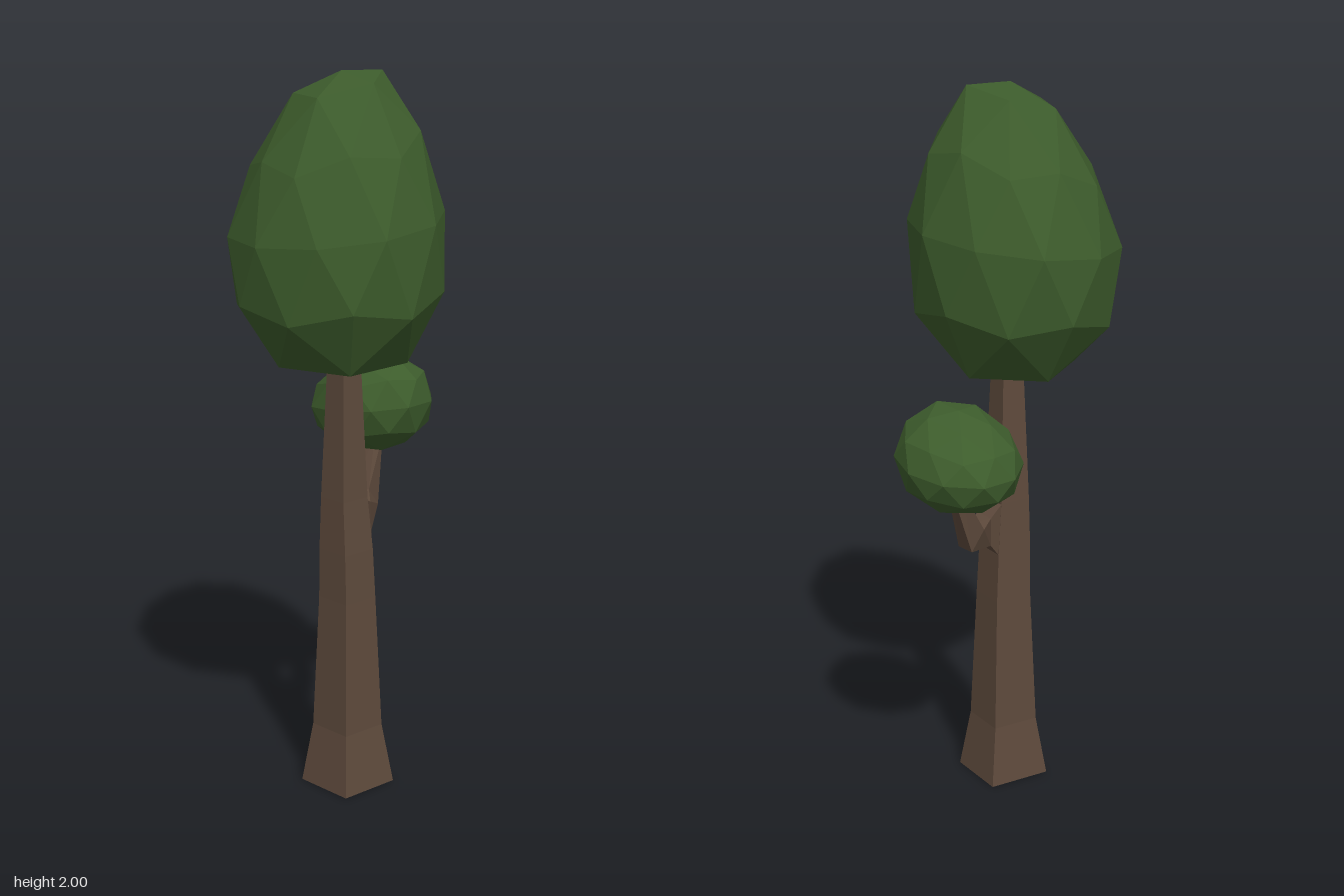
import * as THREE from 'three';

const bark = new THREE.MeshStandardMaterial({ color: 0x5e4a3c, flatShading: true });
const leaf = new THREE.MeshStandardMaterial({ color: 0x3d5c2c, flatShading: true });

// Skin a row of four-cornered sections, with caps at both ends
function loft(rings) {
  const pos = [], idx = [];
  rings.forEach(r => r.forEach(p => pos.push(...p)));
  for (let k = 0; k < rings.length - 1; k++) {
    for (let i = 0; i < 4; i++) {
      const a = k * 4 + i, b = k * 4 + (i + 1) % 4;
      idx.push(a, b, b + 4, a, b + 4, a + 4);
    }
  }
  const e = (rings.length - 1) * 4;
  idx.push(0, 3, 2, 0, 2, 1, e, e + 1, e + 2, e, e + 2, e + 3);
  const g = new THREE.BufferGeometry();
  g.setAttribute('position', new THREE.Float32BufferAttribute(pos, 3));
  g.setIndex(idx);
  const flat = g.toNonIndexed();
  flat.computeVertexNormals();
  return flat;
}

// Faceted ball with a corner at each pole: taper narrows the top, leanX and leanZ
// tilt the upper layers, poleShift moves both poles along z, blunt fills the shoulders
function crown(center, radii, { taper, leanX, leanZ, poleShift, blunt, yaw }) {
  const g = new THREE.IcosahedronGeometry(1, 1);
  g.rotateX(-Math.atan2((1 + Math.sqrt(5)) / 2, 1));
  g.rotateY(yaw);
  const p = g.attributes.position;
  for (let i = 0; i < p.count; i++) {
    const x = p.getX(i), y = p.getY(i), z = p.getZ(i);
    const s = 1 - taper * y;
    const h = y + blunt * y ** 5 * (1 - y * y);
    p.setXYZ(i,
      center[0] + x * radii[0] * s,
      center[1] + h * radii[1] + (leanX * x + leanZ * z) * (1 + y),
      center[2] + z * radii[2] * s + poleShift * y * y);
  }
  g.computeVertexNormals();
  return g;
}

export function createModel() {
  const tree = new THREE.Group();
  tree.name = 'tree';
  const add = (name, geometry, material) => {
    const m = new THREE.Mesh(geometry, material);
    m.name = name;
    tree.add(m);
  };

  // Square trunk: height, centre x, centre z, half width
  const trunk = [
    [0, -0.049, 0.032, 0.091],
    [0.17, -0.048, 0.03, 0.068],
    [0.55, -0.049, 0.031, 0.055],
    [0.69, -0.053, 0.031, 0.052],
    [0.84, -0.058, 0.029, 0.045],
    [1.25, -0.062, 0.033, 0.031],
  ].map(([y, x, z, h]) => [[x - h, y, z + h], [x + h, y, z + h], [x + h, y, z - h], [x - h, y, z - h]]);
  add('trunk', loft(trunk), bark);

  // Branch: flared root, collar, elbow, tip
  add('branch', loft([
    [[-0.003, 0.69, 0.081], [-0.003, 0.69, -0.019], [-0.015, 0.84, -0.015], [-0.015, 0.83, 0.073]],
    [[0.03, 0.73, 0.045], [0.03, 0.73, -0.03], [0.03, 0.81, -0.03], [0.03, 0.81, 0.04]],
    [[0.145, 0.76, -0.05], [0.138, 0.76, -0.108], [0.088, 0.81, -0.09], [0.095, 0.815, -0.035]],
    [[0.205, 0.94, -0.095], [0.205, 0.94, -0.125], [0.175, 0.945, -0.125], [0.175, 0.945, -0.095]],
  ]), bark);

  // Foliage
  add('mainCrown', crown([-0.07, 1.595, 0.012], [0.284, 0.405, 0.3],
    { taper: 0.22, leanX: 0.03, leanZ: 0.012, poleShift: 0.02, blunt: 0.5, yaw: 0 }), leaf);
  add('smallCrown', crown([0.185, 1.04, -0.12], [0.168, 0.137, 0.187],
    { taper: 0.04, leanX: 0, leanZ: 0.02, poleShift: 0, blunt: 0.2, yaw: 0.12 }), leaf);
  return tree;
}
